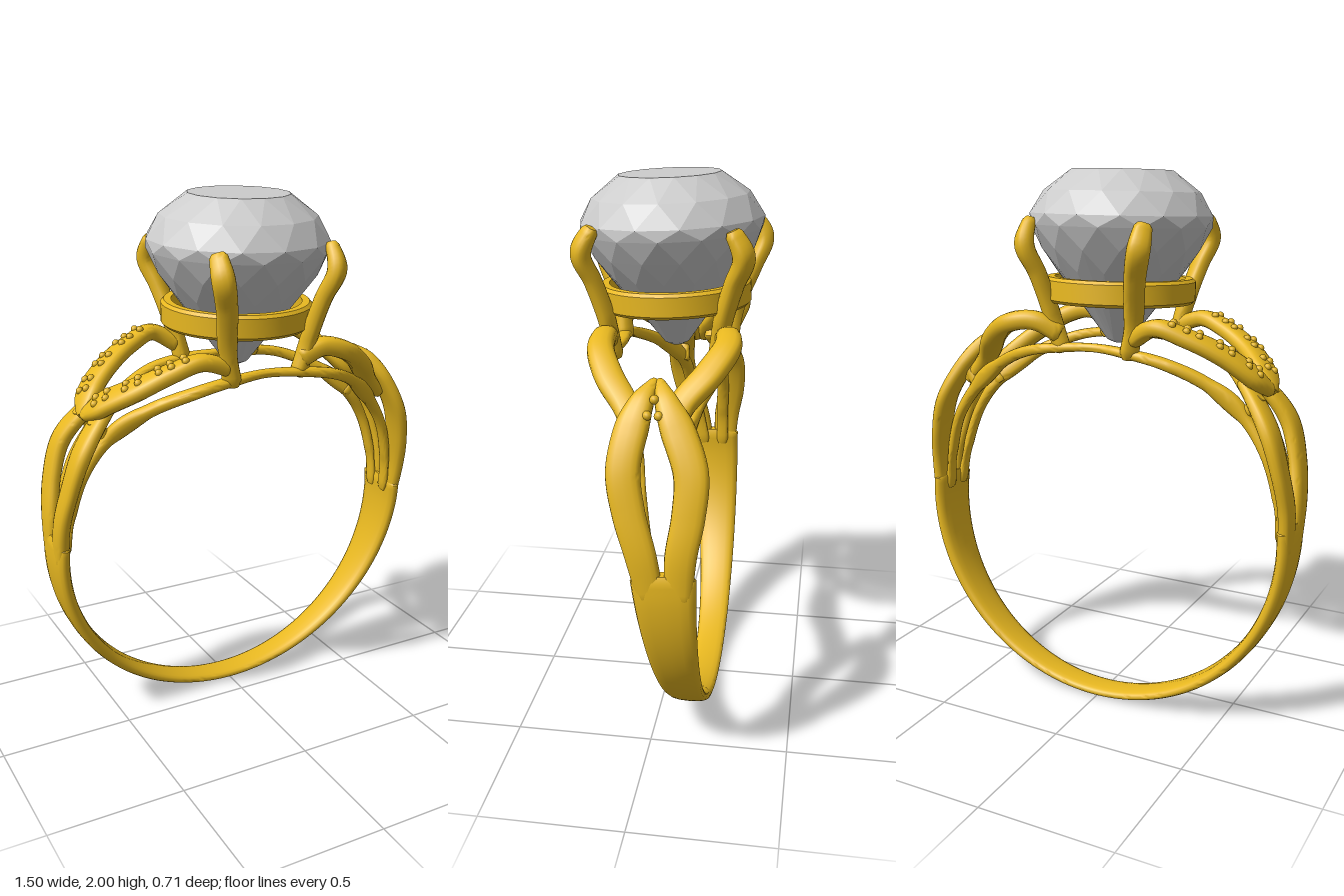
import * as THREE from 'three';
import { toCreasedNormals } from 'three/addons/utils/BufferGeometryUtils.js';
import { ConvexGeometry } from 'three/addons/geometries/ConvexGeometry.js';

const V = (x, y, z) => new THREE.Vector3(x, y, z);
const fromRing = p => V(p.x, p.y - 0.7, 0);   // radial direction of the finger ring
const fromStone = p => V(p.x, 0, p.z);        // outward from the stone's axis

// Curves for position and for width/thickness through rows of [x, y, z, width, thickness]
function strandCurves(rows) {
  return [
    new THREE.CatmullRomCurve3(rows.map(r => V(r[0], r[1], r[2]))),
    new THREE.CatmullRomCurve3(rows.map(r => V(r[3], r[4], 0))),
  ];
}

// Rounded strip swept along the rows, with its thickness facing along hint(p)
function sweep(rows, hint = fromRing, steps = 48, sides = 16) {
  const [path, size] = strandCurves(rows);
  const pos = [], idx = [];
  const soft = v => Math.sign(v) * Math.abs(v) ** 0.75;
  // end rows shrink to close the strip with a rounded tip
  const stations = [[0, 0], [0, 0.75]];
  for (let i = 1; i < steps; i++) stations.push([i / steps, 1]);
  stations.push([1, 0.75], [1, 0]);
  stations.forEach(([u, k]) => {
    const p = path.getPoint(u), s = size.getPoint(u), t = path.getTangent(u);
    const b = t.clone().cross(hint(p)).normalize();
    const n = b.clone().cross(t);
    for (let j = 0; j < sides; j++) {
      const a = j / sides * Math.PI * 2;
      const q = p.clone()
        .addScaledVector(b, soft(Math.cos(a)) * s.x / 2 * k)
        .addScaledVector(n, soft(Math.sin(a)) * s.y / 2 * k);
      pos.push(q.x, q.y, q.z);
    }
  });
  for (let i = 0; i < stations.length - 1; i++) {
    for (let j = 0; j < sides; j++) {
      const a = i * sides + j, b = i * sides + (j + 1) % sides;
      idx.push(a, a + sides, b, b, a + sides, b + sides);
    }
  }
  const g = new THREE.BufferGeometry();
  g.setAttribute('position', new THREE.Float32BufferAttribute(pos, 3));
  g.setIndex(idx);
  return toCreasedNormals(g, 0.9);
}

export function createModel() {
  const model = new THREE.Group();
  const gold = new THREE.MeshStandardMaterial({ color: 0xe8b820 });
  const grey = new THREE.MeshStandardMaterial({ color: 0xcccccc, flatShading: true });
  const add = (name, geometry, material = gold) => {
    const m = new THREE.Mesh(geometry, material);
    m.name = name;
    model.add(m);
    return m;
  };

  // Lower band: narrow and set back at the bottom, wider toward the shoulders
  const band = [];
  for (let i = 0; i <= 24; i++) {
    const a = (i / 24 * 2 - 1) * 1.66, s = Math.sin(a), c = Math.cos(a);
    const y = 0.735 - 0.718 * c;
    band.push([0.722 * s, y, -0.145 + 0.08 * y, 0.11 + 0.14 * y, 0.036 + 0.02 * s * s]);
  }
  add('band', sweep(band, fromRing, 120));

  for (const f of [1, -1]) {
    const end = f > 0 ? 'Front' : 'Back';

    // Right shoulder: the band's two halves meet in a point above the arms
    add('pointedSplit' + end, sweep([
      [0.722, 0.7, -0.09 + f * 0.045, 0.09, 0.05],
      [0.722, 0.86, -0.075 + f * 0.065, 0.105, 0.05],
      [0.70, 1.0, -0.065 + f * 0.097, 0.11, 0.05],
      [0.665, 1.13, -0.055 + f * 0.11, 0.115, 0.055],
      [0.61, 1.25, -0.04 + f * 0.077, 0.115, 0.06],
      [0.555, 1.33, -0.03 + f * 0.04, 0.08, 0.06],
      [0.49, 1.385, -0.03 + f * 0.006, 0.025, 0.03],
    ]));

    // Left shoulder: the halves pass below the beaded arms
    add('lowerSplit' + end, sweep([
      [-0.722, 0.7, -0.09 + f * 0.045, 0.09, 0.05],
      [-0.722, 0.86, -0.075 + f * 0.065, 0.105, 0.05],
      [-0.70, 1.0, -0.065 + f * 0.097, 0.11, 0.05],
      [-0.66, 1.13, -0.055 + f * 0.108, 0.11, 0.055],
      [-0.60, 1.22, -0.045 + f * 0.085, 0.10, 0.05],
      [-0.53, 1.29, -0.035 + f * 0.05, 0.07, 0.04],
    ]));

    // Beaded arms: a V with its point on the left shoulder
    const dz = f > 0 ? 0 : 0.03, lift = f > 0 ? 0 : 0.025;
    const arm = [
      [-0.615, 1.25, -0.03, 0.05, 0.04],
      [-0.56, 1.305 + lift / 2, -0.03 + f * 0.07, 0.12, 0.06],
      [-0.47, 1.365 + lift, f * (0.125 + dz), 0.115, 0.06],
      [-0.36, 1.42 + lift, f * (0.175 + dz), 0.095, 0.06],
      [-0.26, 1.45 + lift, f * (0.2 + dz), 0.075, 0.06],
      [-0.16, 1.42, f * 0.21, 0.06, 0.06],
    ];
    add('beadedArm' + end, sweep(arm));
    const [path, size] = strandCurves(arm);
    for (const u of [0.17, 0.25, 0.36, 0.43, 0.54, 0.61, 0.7]) {
      for (const side of [-1, 1]) {
        const p = path.getPoint(u), up = fromRing(p).normalize();
        const b = path.getTangent(u).cross(up).normalize();
        p.addScaledVector(up, size.getPoint(u).y * 0.47).addScaledVector(b, side * 0.017);
        const bead = add('armBead', new THREE.SphereGeometry(0.014, 10, 6));
        bead.position.copy(p);
      }
    }

    // Plain arms from the right prongs, closing under the pointed shoulder
    add('plainArm' + end, sweep([
      [0.13, 1.42, f * 0.2, 0.06, 0.07],
      [0.22, 1.455 + lift / 2, f * (0.2 + dz), 0.08, 0.07],
      [0.32, 1.43 + lift, f * (0.195 + dz * 1.5), 0.095, 0.07],
      [0.42, 1.365 + lift, f * (0.145 + dz * 1.5), 0.1, 0.065],
      [0.51, 1.28 + lift / 2, -0.02 + f * 0.085, 0.09, 0.06],
      [0.60, 1.19, -0.04 + f * 0.065, 0.06, 0.045],
    ]));

    // Inner rail: one strip following the finger hole from side to side
    const half = [
      [0.70, 0.74, -0.085 + f * 0.04, 0.05, 0.03],
      [0.68, 0.9, -0.07 + f * 0.055, 0.05, 0.03],
      [0.635, 1.05, -0.06 + f * 0.07, 0.05, 0.035],
      [0.555, 1.17, -0.045 + f * 0.08, 0.05, 0.045],
      [0.43, 1.275, -0.02 + f * 0.13, 0.05, 0.045],
      [0.28, 1.345, f * 0.195, 0.05, 0.04],
      [0.14, 1.37, f * 0.2, 0.05, 0.035],
    ];
    const other = half.map(([x, ...r]) => [-x, ...r]).reverse();
    add('innerRail' + end, sweep([...half, [0, 1.378, f * 0.185, 0.04, 0.03], ...other], fromRing, 110));

    // Short struts between rail and shoulder
    for (const s of [1, -1]) {
      add('strut' + end, sweep([
        [s * 0.54, 1.16, -0.045 + f * 0.075, 0.05, 0.05],
        [s * 0.57, 1.205, -0.045 + f * 0.075, 0.04, 0.04],
        [s * 0.605, 1.25, -0.04 + f * 0.075, 0.05, 0.05],
      ], () => V(0, 0, 1), 10));
    }

    // Claw prongs
    add('leftProng' + end, sweep([
      [-0.145, 1.355, f * 0.2, 0.07, 0.06],
      [-0.175, 1.5, f * 0.225, 0.07, 0.06],
      [-0.205, 1.64, f * 0.28, 0.075, 0.06],
      [-0.235, 1.74, f * 0.315, 0.08, 0.065],
      [-0.235, 1.825, f * 0.275, 0.06, 0.045],
    ], fromStone, 30));
    add('rightProng' + end, sweep([
      [0.13, 1.355, f * 0.185, 0.07, 0.06],
      [0.165, 1.5, f * 0.205, 0.07, 0.06],
      [0.195, 1.64, f * 0.245, 0.075, 0.06],
      [0.225, 1.74, f * 0.28, 0.08, 0.065],
      [0.225, 1.83, f * 0.24, 0.06, 0.045],
    ], fromStone, 30));
  }

  // Beads on the pointed shoulder
  for (const [x, y, z] of [[0.605, 1.3, -0.052], [0.605, 1.3, -0.014], [0.575, 1.345, -0.033]]) {
    add('shoulderBead', new THREE.SphereGeometry(0.016, 10, 6)).position.set(x, y, z);
  }

  // Collar below the stone, tilted a little forward
  const collarProfile = [[0.238, -0.045], [0.265, -0.045], [0.276, -0.034], [0.276, 0.034],
    [0.265, 0.045], [0.238, 0.045], [0.238, -0.045]].map(p => new THREE.Vector2(...p));
  const collar = add('collar', toCreasedNormals(new THREE.LatheGeometry(collarProfile, 64), 0.6));
  collar.position.set(-0.015, 1.57, -0.013);
  collar.rotation.x = 0.045;

  // Faceted stone: rows of [radius, height], each turned half a facet
  const points = [], facets = 14;
  [[0.185, 0.165], [0.283, 0.09], [0.333, 0.01], [0.33, -0.03], [0.29, -0.11], [0.235, -0.19],
    [0.172, -0.27], [0.108, -0.355], [0.045, -0.44], [0.02, -0.452]].forEach(([r, y], i) => {
    for (let j = 0; j < facets; j++) {
      const a = (j + i % 2 / 2) / facets * Math.PI * 2;
      points.push(V(r * Math.sin(a), y, r * Math.cos(a)));
    }
  });
  const stone = add('stone', new ConvexGeometry(points), grey);
  stone.position.set(-0.015, 1.827, 0);
  stone.rotation.x = 0.045;

  return model;
}
